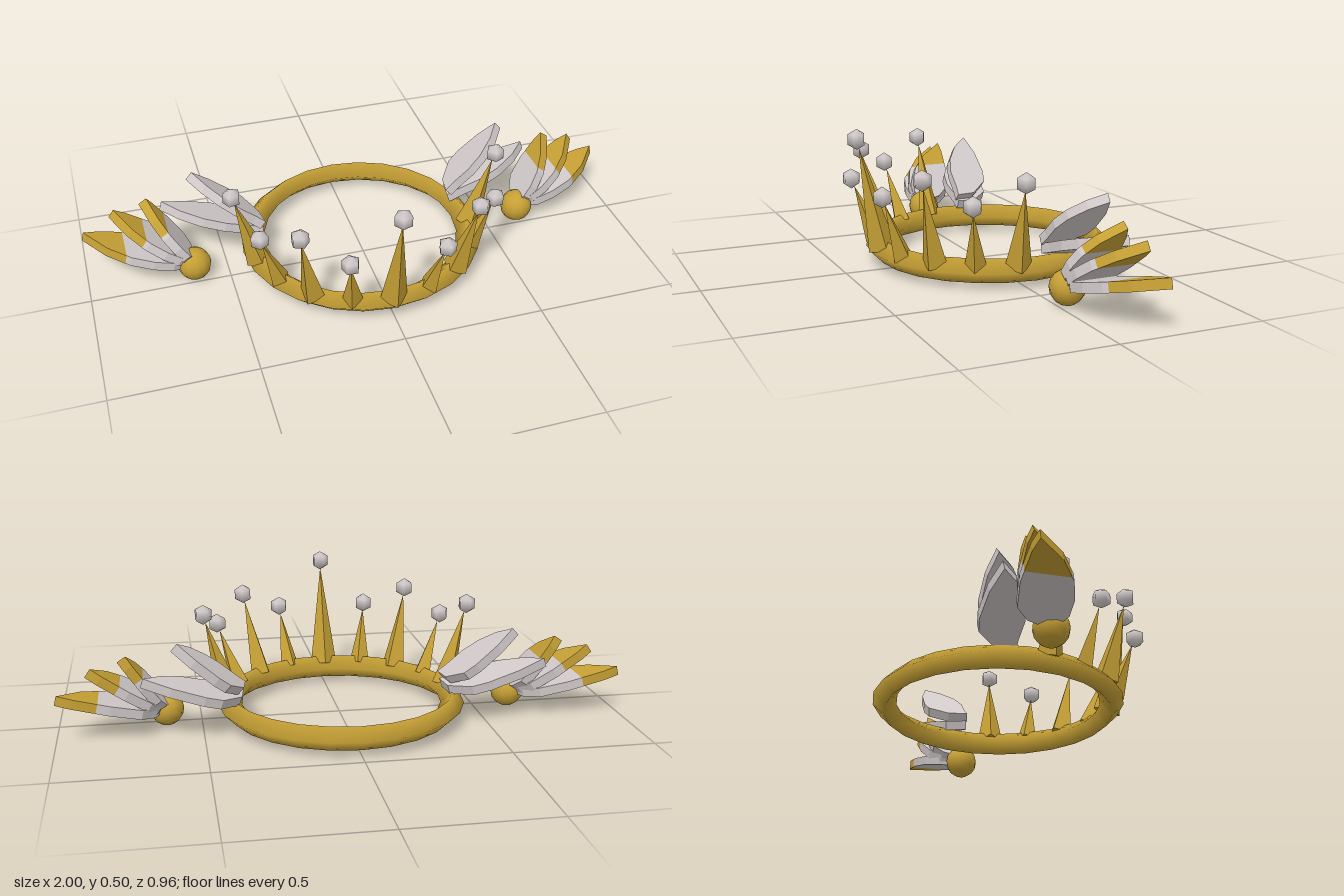
import * as THREE from 'three';

const gold = new THREE.MeshStandardMaterial({ name: 'gold', color: 0xc6a035 });
const silver = new THREE.MeshStandardMaterial({ name: 'silver', color: 0xd2caca });

const RING_Z = -0.04, RING_Y = 0.063, THICK = 0.034;

// Feather outlines: [distance along feather, z], in units of full size
const outerOutline = [
  [0.02, -0.06], [0.04, -0.02], [0.08, 0], [0.15, -0.005], [0.23, -0.03], [0.31, -0.085],
  [0.385, -0.175], [0.33, -0.185], [0.2, -0.185], [0.09, -0.165], [0.04, -0.12],
];
const innerOutline = [
  [0, -0.075], [0.05, -0.08], [0.14, -0.08], [0.22, -0.1], [0.3, -0.145], [0.36, -0.205],
  [0.26, -0.228], [0.14, -0.232], [0.08, -0.22], [0.01, -0.15],
];

function add(parent, name, geometry, material) {
  const mesh = new THREE.Mesh(geometry, material);
  mesh.name = name;
  parent.add(mesh);
  return mesh;
}

// Keep the part of an outline on one side of a cut across its length
function clip(points, cut, keepTip) {
  const inside = (p) => (keepTip ? p[0] >= cut : p[0] <= cut);
  const out = [];
  points.forEach((a, i) => {
    const b = points[(i + 1) % points.length];
    if (inside(a)) out.push(a);
    if (inside(a) !== inside(b)) {
      const t = (cut - a[0]) / (b[0] - a[0]);
      out.push([cut, a[1] + t * (b[1] - a[1])]);
    }
  });
  return out;
}

// Flat leaf-shaped slab, raised outward by an angle from its root
function featherGeometry(points, side, { angle, roll = 0, root }) {
  const shape = new THREE.Shape(points.map(([u, z]) => new THREE.Vector2(side * u, -z)));
  const g = new THREE.ExtrudeGeometry(shape, { depth: THICK, bevelEnabled: false });
  g.translate(0, 0, -THICK / 2);
  g.rotateX(-Math.PI / 2);
  g.translate(0, 0, 0.1).rotateX(roll).translate(0, 0, -0.1);
  g.rotateZ(side * angle);
  g.translate(side * root[0], root[1], 0);
  return g;
}

function makeSpike(degrees, ballY, radius) {
  const spike = new THREE.Group();
  spike.name = 'spike';
  const baseR = 0.405, baseY = 0.077, ballR = 0.49;
  const tilt = Math.atan2(ballR - baseR, ballY - baseY);
  const height = Math.hypot(ballR - baseR, ballY - baseY) - 0.028;
  const cone = new THREE.ConeGeometry(radius, height, 4).toNonIndexed();
  cone.computeVertexNormals();
  cone.translate(0, height / 2, 0).rotateX(tilt).translate(0, baseY, baseR);
  add(spike, 'spikeCone', cone, gold);
  add(spike, 'pearl', new THREE.SphereGeometry(0.036, 5, 3), silver).position.set(0, ballY, ballR);
  spike.position.z = RING_Z;
  spike.rotation.y = THREE.MathUtils.degToRad(degrees);
  return spike;
}

function makeWing(side) {
  const wing = new THREE.Group();
  wing.name = side > 0 ? 'leftWing' : 'rightWing';

  // Silver feathers beside the ring
  const inner = [
    { angle: 0.31, roll: -0.1, root: [0.36, 0.115], length: 1, width: 1 },
    { angle: 0.7, roll: -0.1, root: [0.36, 0.145], length: 0.83, width: 0.95 },
  ];
  for (const f of inner) {
    const pts = innerOutline.map(([u, z]) => [u * f.length, z * f.width]);
    add(wing, 'innerFeather', featherGeometry(pts, side, f), silver);
  }

  // Gold-tipped feathers fanning out from the orb
  const outer = [
    { angle: 0.245, length: 1, width: 1 },
    { angle: 0.6, length: 0.83, width: 0.93 },
    { angle: 0.97, length: 0.69, width: 0.86 },
  ];
  for (const f of outer) {
    const pts = outerOutline.map(([u, z]) => [u * f.length, z * f.width]);
    const cut = 0.385 * 0.64 * f.length;
    const pose = { angle: f.angle, root: [0.62, 0.066] };
    add(wing, 'outerFeather', featherGeometry(clip(pts, cut, false), side, pose), silver);
    add(wing, 'featherTip', featherGeometry(clip(pts, cut, true), side, pose), gold);
  }

  add(wing, 'orb', new THREE.SphereGeometry(0.06, 12, 8), gold).position.set(side * 0.623, 0.062, -0.033);
  return wing;
}

export function createModel() {
  const model = new THREE.Group();
  model.name = 'wingedCrown';

  // Ring with a diamond section
  const ring = new THREE.TorusGeometry(0.4, 0.042, 4, 24).rotateX(Math.PI / 2);
  add(model, 'ring', ring, gold).position.set(0, RING_Y, RING_Z);

  // Nine spikes, alternating short and tall around the front
  for (let i = -4; i <= 4; i++) {
    const tall = i % 2 === 0;
    const ballY = i === 0 ? 0.47 : tall ? 0.376 : 0.3;
    model.add(makeSpike(i * 20, ballY, i === 0 ? 0.05 : tall ? 0.047 : 0.038));
  }

  for (const side of [1, -1]) model.add(makeWing(side));
  return model;
}
